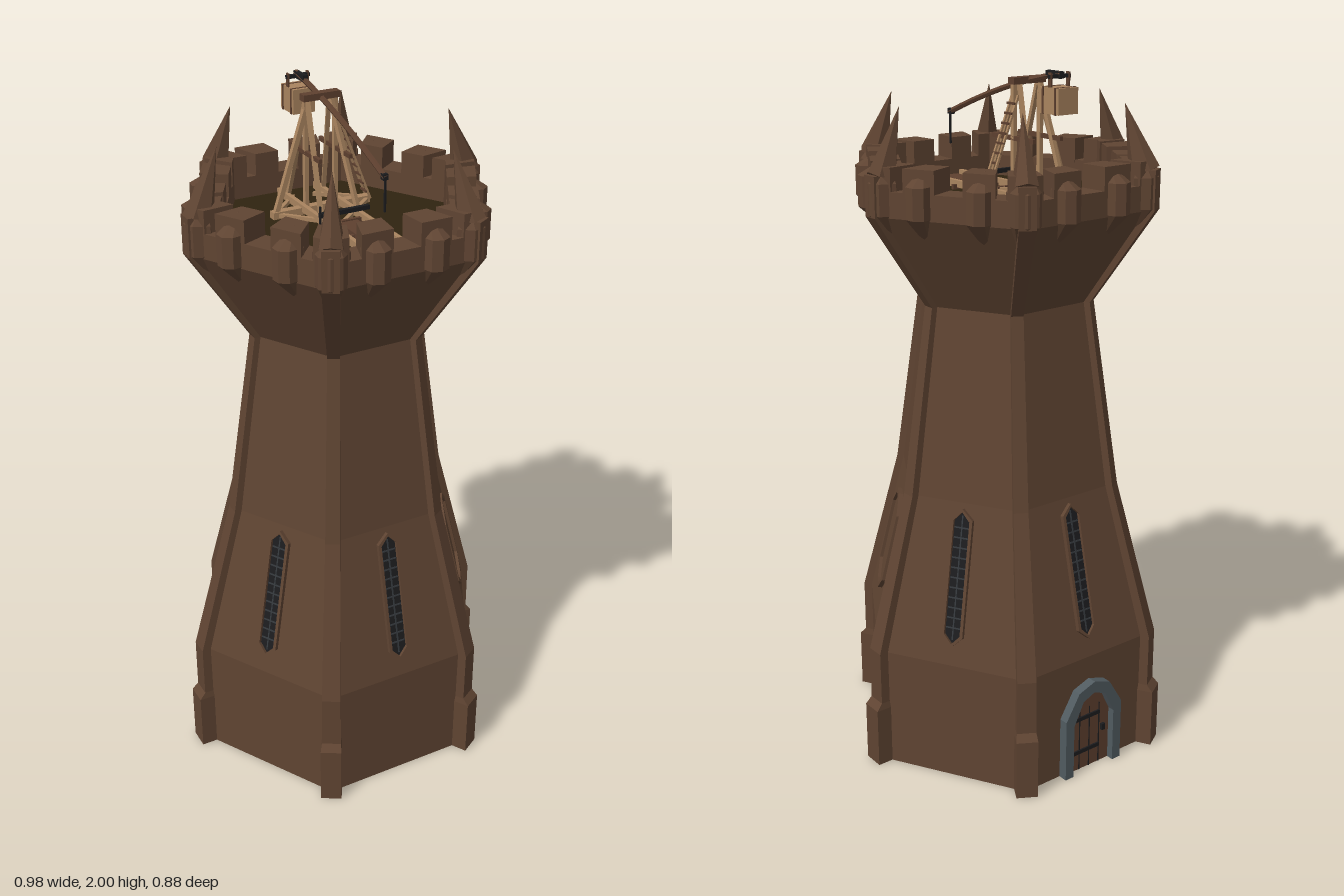
import * as THREE from 'three';
import { ConvexGeometry } from 'three/addons/geometries/ConvexGeometry.js';

const paint = (name, color) => {
  const m = new THREE.MeshStandardMaterial({ color });
  m.name = name;
  return m;
};
const V = (x, y, z) => new THREE.Vector3(x, y, z);
const FLOOR = 1.64, APOTHEM = 0.375, INNER = 0.295;

// Facet the normals of an indexed geometry
function facet(geo) {
  const g = geo.index ? geo.toNonIndexed() : geo;
  g.computeVertexNormals();
  return g;
}

export function createModel() {
  const stone = paint('brown stone', 0x5f4432);
  const deckMat = paint('dark deck', 0x2f2310);
  const black = paint('black', 0x1c1c1e);
  const iron = paint('iron', 0x34383c);
  const grey = paint('grey stone', 0x515b60);
  const tan = paint('pale timber', 0xa9845f);
  const wood = paint('dark timber', 0x5e402f);

  const root = new THREE.Group();
  root.name = 'tower';

  const add = (parent, name, geo, mat) => {
    const m = new THREE.Mesh(geo, mat);
    m.name = name;
    parent.add(m);
    return m;
  };
  const box = (parent, name, size, pos, mat) => {
    const m = add(parent, name, new THREE.BoxGeometry(...size), mat);
    m.position.set(...pos);
    return m;
  };
  // Square timber between two points
  const beam = (parent, name, a, b, w, mat, h = w) => {
    const p = V(...a), q = V(...b);
    const m = add(parent, name, new THREE.BoxGeometry(w, h, p.distanceTo(q)), mat);
    m.position.copy(p).add(q).multiplyScalar(0.5);
    m.lookAt(q);
    return m;
  };
  // Group whose local +z points outward at an angle around the tower
  const radial = (name, degrees) => {
    const g = new THREE.Group();
    g.name = name;
    g.rotation.y = degrees * Math.PI / 180;
    root.add(g);
    return g;
  };
  const polygon = (pts) => new THREE.Shape(pts.map(([x, y]) => new THREE.Vector2(x, y)));
  const plate = (shape, depth) => new THREE.ExtrudeGeometry(shape, { depth, bevelEnabled: false });

  // Hexagonal shell, from the foot over the parapet to the deck
  const profile = [[0.463, 0], [0.463, 0.36], [0.337, 0.82], [0.256, 1.36], [0.433, 1.63],
    [0.433, 1.70], [0.341, 1.70], [0.341, FLOOR]].map(([r, y]) => new THREE.Vector2(r, y));
  add(root, 'towerWalls', facet(new THREE.LatheGeometry(profile, 6, Math.PI / 6)), stone);
  const hexagon = (r) => new THREE.CircleGeometry(r, 6).rotateX(-Math.PI / 2);
  add(root, 'deck', hexagon(0.342), deckMat).position.y = FLOOR;
  add(root, 'underside', hexagon(0.463).rotateX(Math.PI), black).position.y = 0.001;

  // Corner ribs: radius, height, width at each level
  const levels = [[0.492, 0, 0.062], [0.492, 0.18, 0.062], [0.474, 0.2, 0.056], [0.474, 0.36, 0.054],
    [0.346, 0.82, 0.042], [0.264, 1.36, 0.034], [0.443, 1.63, 0.046], [0.443, 1.74, 0.046]];
  const n = levels.length - 1;
  const ribGeo = new THREE.BoxGeometry(1, 1, 1, 1, n, 1);
  const rp = ribGeo.attributes.position;
  for (let i = 0; i < rp.count; i++) {
    const [r, y, w] = levels[Math.round((rp.getY(i) + 0.5) * n)];
    rp.setXYZ(i, rp.getX(i) * w, y, rp.getZ(i) > 0 ? r : r - 0.06);
  }
  const rib = facet(ribGeo);

  // Pointed buttress under the parapet, with a peaked top
  const buttress = (w, outer, foot, tip) => new ConvexGeometry([
    V(0, foot[1], foot[0]), V(0, tip[1], tip[0]),
    ...[1.635, 1.72].flatMap((y) => [-1, 1].flatMap((s) => [
      V(s * w, y, outer - 0.055), V(s * w * 0.65, y, outer - 0.012), V(0, y, outer)])),
  ]);
  const faceButtress = buttress(0.04, 0.41, [0.305, 1.54], [0.335, 1.765]);
  const cornerButtress = buttress(0.048, 0.446, [0.335, 1.50], [0.39, 1.79]);
  const spike = new ConvexGeometry([V(0, 1.91, 0.345),
    ...[-1, 1].flatMap((s) => [V(s * 0.034, 1.73, 0.385), V(s * 0.03, 1.74, 0.43)]),
    V(0, 1.75, 0.446), V(0, 1.73, 0.36)]);

  // Merlon block between two offsets along a face
  const merlon = (u1, u2) => {
    const k = INNER / APOTHEM;
    const g = plate(polygon([[u1, -APOTHEM], [u2, -APOTHEM], [u2 * k, -INNER], [u1 * k, -INNER]]), 0.07);
    return g.rotateX(-Math.PI / 2).translate(0, 1.693, 0);
  };

  for (let i = 0; i < 6; i++) {
    const corner = radial('corner', 30 + i * 60);
    add(corner, 'cornerRib', rib, stone);
    add(corner, 'cornerButtress', cornerButtress, stone);
    add(corner, 'cornerSpike', spike, stone);
    const side = radial('parapetSide', i * 60);
    for (const [a, b] of [[-0.2165, -0.165], [-0.13, -0.04], [0.04, 0.13], [0.165, 0.2165]])
      add(side, 'merlon', merlon(a, b), stone);
    for (const s of [-1, 1]) add(side, 'buttress', faceButtress, stone).position.x = s * 0.085;
  }

  // Windows lie on the sloping middle of each face
  const lozenge = (w, h, cut) => [[-w, -h + cut], [0, -h], [w, -h + cut], [w, h - cut], [0, h], [-w, h - cut]];
  const wideHex = (w, h, cut) => [[-w, -h + cut], [-w * 0.3, -h], [w * 0.3, -h], [w, -h + cut],
    [w, h - cut], [w * 0.3, h], [-w * 0.3, h], [-w, h - cut]];
  const slope = Math.atan2(0.463 - 0.337, 0.46 / 0.866);
  const windowOn = (degrees, wide, paneMat) => {
    const g = new THREE.Group();
    g.name = wide ? 'wideWindow' : 'slitWindow';
    const y = 0.61;
    g.position.set(0, y, 0.866 * (0.463 - (y - 0.36) * (0.126 / 0.46)));
    g.rotation.x = -slope;
    radial('windowSide', degrees).add(g);
    const outline = wide ? wideHex : lozenge;
    const w = wide ? 0.08 : 0.033, h = wide ? 0.155 : 0.2, t = wide ? 0.013 : 0.009;
    const frame = polygon(outline(w, h, wide ? 0.05 : 0.03));
    frame.holes.push(polygon(outline(w - t, h - t, wide ? 0.046 : 0.026)));
    add(g, 'windowFrame', plate(frame, 0.018), stone).position.z = -0.005;
    add(g, 'windowPane', plate(polygon(outline(w - t, h - t, wide ? 0.046 : 0.026)), 0.006), paneMat).position.z = -0.002;
    if (!wide) {
      for (let k = -5; k <= 5; k++)
        box(g, 'windowBar', [0.044, 0.004, 0.003], [0, k * 0.029, 0.005], iron);
      box(g, 'windowBar', [0.004, 0.36, 0.003], [0, 0, 0.005], iron);
    }
  };
  for (const a of [0, 120, 180, 300]) windowOn(a, false, black);
  windowOn(60, true, stone);
  windowOn(240, true, black);

  // Arched door on the back
  const door = radial('door', 180);
  const arch = (w, h) => [[-w, 0], [w, 0], [w, h * 0.66], [w * 0.55, h * 0.93], [0, h], [-w * 0.55, h * 0.93], [-w, h * 0.66]];
  const archShape = polygon([[-0.105, 0], [-0.075, 0], ...arch(0.075, 0.255).slice(2).reverse(), [0.075, 0],
    [0.105, 0], ...arch(0.105, 0.29).slice(2)]);
  add(door, 'doorArch', plate(archShape, 0.037), grey).position.z = 0.392;
  add(door, 'doorLeaf', plate(polygon(arch(0.076, 0.256)), 0.009), wood).position.z = 0.398;
  for (const y of [0.06, 0.17]) box(door, 'doorHinge', [0.11, 0.012, 0.006], [-0.018, y, 0.409], black);
  for (const x of [-0.037, 0, 0.037]) box(door, 'plankGap', [0.003, 0.2, 0.003], [x, 0.1, 0.4075], black);
  box(door, 'doorHandle', [0.012, 0.02, 0.01], [0.05, 0.115, 0.411], black);

  // Throwing engine on the deck
  const engine = new THREE.Group();
  engine.name = 'throwingEngine';
  engine.position.x = 0.006;
  root.add(engine);
  const Z = -0.107, base = FLOOR + 0.012;
  box(engine, 'groundBeam', [0.3, 0.02, 0.024], [0, base, Z], tan);
  for (const z of [0.03, 0.135, 0.24]) box(engine, 'crossBeam', [0.15, 0.014, 0.01], [0, base, z], wood);
  box(engine, 'trough', [0.055, 0.014, 0.2], [0, base + 0.005, 0.155], wood);
  for (const s of [-1, 1]) {
    const x = s * 0.057;
    box(engine, 'groundRail', [0.013, 0.02, 0.53], [x, base + 0.008, 0.013], tan);
    beam(engine, 'floorBrace', [s * 0.135, base, Z + 0.01], [s * 0.005, base, 0.03], 0.011, tan);
    beam(engine, 'floorBrace', [s * 0.135, base, Z - 0.01], [s * 0.03, base, -0.21], 0.011, tan);
    for (const d of [-0.105, 0.105])
      beam(engine, 'frameLeg', [x, base, Z + d], [s * 0.034, 1.97, Z], 0.012, tan);
    box(engine, 'frameTie', [0.01, 0.012, 0.18], [s * 0.046, 1.815, Z], wood);
    box(engine, 'framePost', [0.012, 0.32, 0.014], [s * 0.045, 1.80, Z], tan);
  }
  beam(engine, 'sideStrut', [-0.145, base, Z], [-0.04, 1.93, Z], 0.014, tan);
  // Ladder up one side of the frame
  for (const d of [-0.013, 0.013])
    beam(engine, 'ladderRail', [0.145, base, Z + d], [0.045, 1.93, Z + d], 0.006, tan);
  for (let i = 1; i < 11; i++)
    box(engine, 'ladderRung', [0.006, 0.006, 0.032], [0.145 - i * 0.0091, base + i * 0.0255, Z], wood);
  box(engine, 'axle', [0.11, 0.018, 0.026], [0, 1.965, Z], wood);
  box(engine, 'winch', [0.15, 0.012, 0.012], [-0.015, base + 0.045, 0.06], black);
  box(engine, 'winchHandle', [0.005, 0.05, 0.006], [-0.088, base + 0.045, 0.06], black);

  // Throwing arm with sling and counterweight
  const curve = new THREE.QuadraticBezierCurve3(V(0, 1.845, 0.25), V(0, 1.955, -0.02), V(0, 1.992, -0.25));
  add(engine, 'throwingArm', facet(new THREE.TubeGeometry(curve, 8, 0.008, 6)), wood);
  box(engine, 'armBand', [0.014, 0.018, 0.06], [0, 1.988, -0.222], black);
  box(engine, 'armTip', [0.014, 0.016, 0.016], [0, 1.848, 0.243], black);
  box(engine, 'slingRope', [0.005, 0.09, 0.005], [0, 1.80, 0.248], black);
  box(engine, 'counterweight', [0.066, 0.068, 0.076], [0, 1.924, -0.24], tan);
  for (const s of [-1, 1]) {
    box(engine, 'weightHanger', [0.005, 0.1, 0.012], [s * 0.03, 1.945, -0.24], wood);
    box(engine, 'weightBand', [0.07, 0.07, 0.006], [0, 1.924, -0.24 + s * 0.025], wood);
  }
  box(engine, 'weightPin', [0.07, 0.01, 0.01], [0, 1.985, -0.24], black);
  return root;
}
